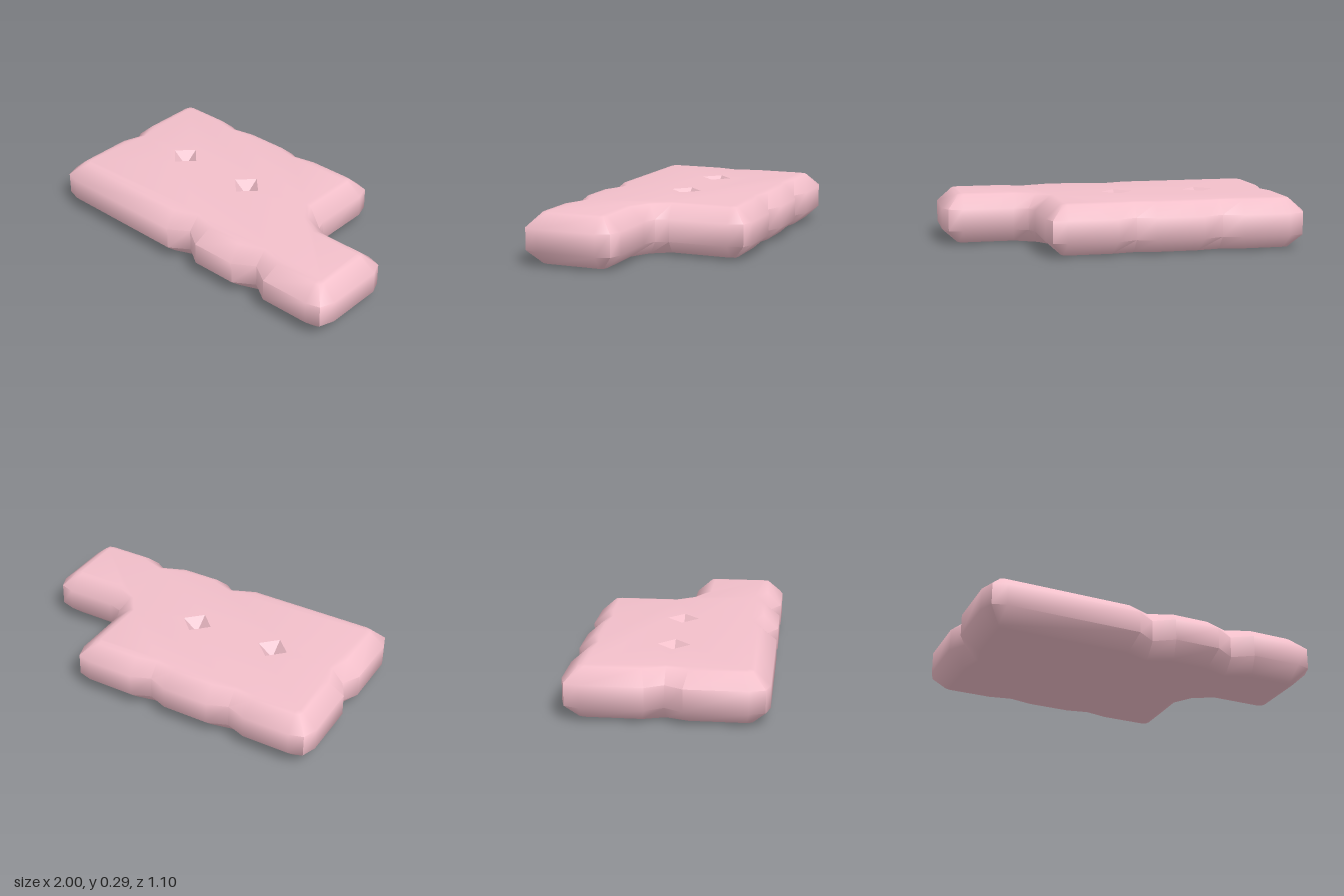
import * as THREE from 'three';
import { toCreasedNormals } from 'three/addons/utils/BufferGeometryUtils.js';

// Widest outline of the slab as [x, z], with chamfered corners and edge notches
const OUTLINE = [
  [-1, -0.44], [-0.97, -0.525], [-0.89, -0.548],
  [-0.62, -0.548], [-0.505, -0.505], [-0.39, -0.548],
  [-0.12, -0.548], [-0.01, -0.505], [0.1, -0.548],
  [0.38, -0.548], [0.46, -0.525], [0.487, -0.44],
  [0.487, -0.1], [0.515, -0.03], [0.6, 0],
  [0.89, 0], [0.97, 0.025], [1, 0.1],
  [1, 0.44], [0.97, 0.525], [0.89, 0.548],
  [0.6, 0.548], [0.487, 0.475], [0.37, 0.548],
  [0.1, 0.548], [-0.01, 0.475], [-0.12, 0.548],
  [-0.89, 0.548], [-0.97, 0.525], [-1, 0.44],
  [-1, 0.1], [-0.945, 0], [-1, -0.1],
];

// Edge profile from bottom to top as [inset, y]
const PROFILE = [[0.11, 0], [0.085, 0.005], [0, 0.083], [0, 0.208], [0.085, 0.284], [0.11, 0.289]];

const PITS = [[-0.505, 0], [-0.01, 0]];
const PIT_RADIUS = 0.09;
const PIT_DEPTH = 0.07;

// Moves every outline point inward along its mitre
function insetOutline(amount) {
  const n = OUTLINE.length;
  const direction = (a, b) => new THREE.Vector2(b[0] - a[0], b[1] - a[1]).normalize();
  return OUTLINE.map((p, i) => {
    const d0 = direction(OUTLINE[(i + n - 1) % n], p);
    const d1 = direction(p, OUTLINE[(i + 1) % n]);
    const inward = new THREE.Vector2(-d0.y - d1.y, d0.x + d1.x).normalize();
    const mitre = 1 / (inward.x * -d1.y + inward.y * d1.x);
    const notch = d0.cross(d1) < 0 && d0.dot(d1) < 0.9;
    const step = amount * (notch ? 0.8 : mitre);
    return new THREE.Vector2(p[0] + inward.x * step, p[1] + inward.y * step);
  });
}

function slabGeometry() {
  const positions = [];
  const triangle = (...corners) => corners.forEach(([p, y]) => positions.push(p.x, y, p.y));
  const rings = PROFILE.map(([inset, y]) => insetOutline(inset).map((p) => [p, y]));

  // Rounded rim
  for (let r = 0; r < rings.length - 1; r++) {
    const low = rings[r], high = rings[r + 1];
    low.forEach((a, i) => {
      const j = (i + 1) % low.length;
      triangle(a, high[i], low[j]);
      triangle(low[j], high[i], high[j]);
    });
  }

  // Flat faces; the top one is cut out for the pits
  const cap = (ring, holes, up) => {
    const contour = ring.map(([p]) => p);
    const all = [...contour, ...holes.flat()];
    const y = ring[0][1];
    for (const face of THREE.ShapeUtils.triangulateShape(contour, holes)) {
      const [a, b, c] = face.map((k) => all[k]);
      const facesUp = (b.y - a.y) * (c.x - a.x) - (b.x - a.x) * (c.y - a.y) > 0;
      if (facesUp === up) triangle([a, y], [b, y], [c, y]);
      else triangle([a, y], [c, y], [b, y]);
    }
  };
  const holes = PITS.map(([x, z]) => [[1, 0], [0, 1], [-1, 0], [0, -1]].map(
    ([u, v]) => new THREE.Vector2(x + u * PIT_RADIUS, z + v * PIT_RADIUS)));
  cap(rings[0], [], false);
  cap(rings[rings.length - 1], holes, true);

  const geometry = new THREE.BufferGeometry();
  geometry.setAttribute('position', new THREE.Float32BufferAttribute(positions, 3));
  return toCreasedNormals(geometry, THREE.MathUtils.degToRad(54));
}

export function createModel() {
  const group = new THREE.Group();
  group.name = 'notchedSlab';
  const color = 0xf2bfca;

  const slab = new THREE.Mesh(slabGeometry(), new THREE.MeshStandardMaterial({ color }));
  slab.name = 'slab';
  group.add(slab);

  // Diamond pits: open four-sided cones pointing down
  const pitMaterial = new THREE.MeshStandardMaterial({ color, flatShading: true, side: THREE.DoubleSide });
  const pitGeometry = new THREE.ConeGeometry(PIT_RADIUS, PIT_DEPTH, 4, 1, true).rotateX(Math.PI);
  const top = PROFILE[PROFILE.length - 1][1];
  for (const [x, z] of PITS) {
    const pit = new THREE.Mesh(pitGeometry, pitMaterial);
    pit.name = 'pit';
    pit.position.set(x, top - PIT_DEPTH / 2, z);
    group.add(pit);
  }
  return group;
}
